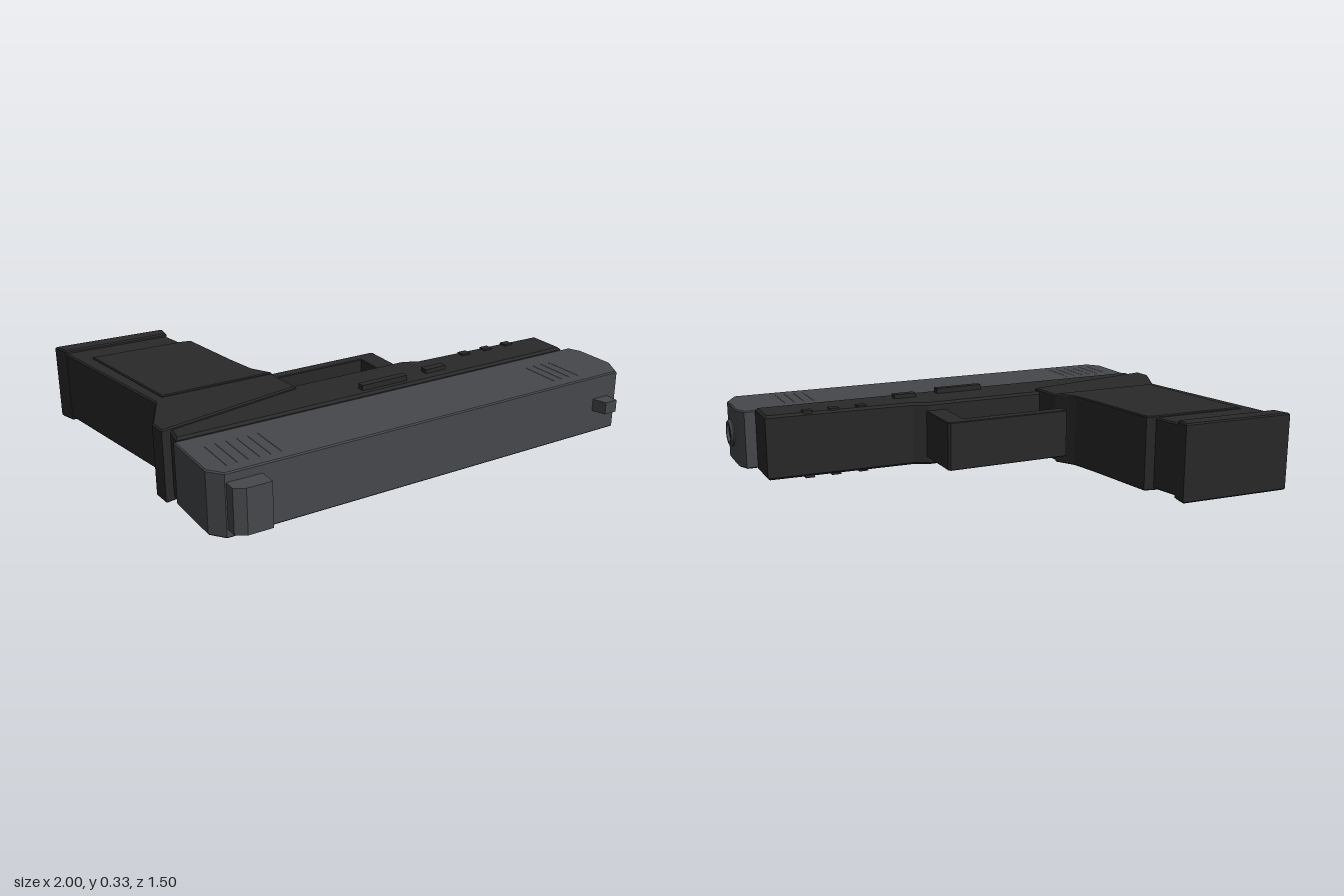
import * as THREE from 'three';

const MID = 0.1625; // height of the symmetry plane
const mat = (color) => new THREE.MeshStandardMaterial({ color, flatShading: true });
const steel = mat(0x46484b), polymer = mat(0x292929), dark = mat(0x1c1c1c);

export function createModel() {
  const model = new THREE.Group();

  const add = (name, geometry, material) => {
    const mesh = new THREE.Mesh(geometry, material);
    mesh.name = name;
    model.add(mesh);
    return mesh;
  };

  // Outline in (x, z), extruded half a thickness to each side of the middle plane
  const plate = (name, points, half, material, bevel = 0.006, holes = []) => {
    const toVectors = (list) => list.map(([x, z]) => new THREE.Vector2(x, -z));
    const shape = new THREE.Shape(toVectors(points));
    holes.forEach((h) => shape.holes.push(new THREE.Path(toVectors(h))));
    const geometry = new THREE.ExtrudeGeometry(shape, {
      depth: 2 * (half - bevel), bevelEnabled: bevel > 0, bevelSegments: 1,
      bevelThickness: bevel, bevelSize: bevel, bevelOffset: -bevel,
    });
    geometry.translate(0, 0, bevel - half).rotateX(-Math.PI / 2).translate(0, MID, 0);
    return add(name, geometry, material);
  };

  const box = (name, x0, x1, y0, y1, z0, z1, material) => {
    const mesh = add(name, new THREE.BoxGeometry(x1 - x0, y1 - y0, z1 - z0), material);
    mesh.position.set((x0 + x1) / 2, (y0 + y1) / 2, (z0 + z1) / 2);
    return mesh;
  };

  // Slide with serration slots, backed by dark cores
  const slot = (x) => [[x - 0.004, 0.44], [x + 0.004, 0.44], [x + 0.004, 0.63], [x - 0.004, 0.63]];
  const slots = [];
  for (let i = 0; i < 6; i++) slots.push(slot(-0.852 + i * 0.043));
  for (let i = 0; i < 4; i++) slots.push(slot(0.636 + i * 0.042));
  plate('slide', [
    [-0.93, 0.355], [0.962, 0.355], [0.985, 0.41], [0.985, 0.585],
    [0.935, 0.677], [-0.885, 0.677], [-0.93, 0.62],
  ], 0.126, steel, 0.005, slots);
  box('rearSerrationCore', -0.88, -0.61, MID - 0.112, MID + 0.112, 0.42, 0.65, dark);
  box('frontSerrationCore', 0.61, 0.79, MID - 0.112, MID + 0.112, 0.42, 0.65, dark);

  // Sights
  plate('rearSight', [[-0.88, 0.67], [-0.74, 0.67], [-0.74, 0.75], [-0.84, 0.75], [-0.88, 0.725]], 0.09, steel, 0);
  plate('frontSight', [[0.81, 0.67], [0.89, 0.67], [0.89, 0.735], [0.83, 0.735]], 0.026, steel, 0);

  // Muzzle ring and bore
  const ring = new THREE.LatheGeometry(
    [[0.04, 0], [0.06, 0], [0.06, 0.02], [0.052, 0.03], [0.04, 0.03], [0.04, 0]]
      .map(([r, y]) => new THREE.Vector2(r, y)), 32);
  ring.rotateZ(-Math.PI / 2).translate(0.97, MID, 0.52);
  add('muzzleRing', ring, steel);
  const bore = new THREE.CylinderGeometry(0.041, 0.041, 0.02, 32);
  bore.rotateZ(-Math.PI / 2).translate(0.978, MID, 0.52);
  add('bore', bore, dark);

  // Frame
  plate('frame', [
    [-0.92, 0.356], [-0.905, 0.25], [-0.5, 0.13], [0.22, 0.13],
    [0.28, 0.16], [0.915, 0.182], [0.915, 0.356],
  ], 0.138, polymer, 0.01);

  // Rail ribs on both sides
  for (const x of [0.5, 0.62, 0.735]) {
    box('railRib', x - 0.02, x + 0.02, MID - 0.145, MID + 0.145, 0.18, 0.215, polymer);
  }

  // Controls on the upper side
  box('slideStop', -0.105, 0.11, 0.28, 0.323, 0.293, 0.325, polymer);
  box('takedownLever', 0.22, 0.32, 0.28, 0.318, 0.27, 0.305, polymer);

  // Trigger guard and trigger
  plate('triggerGuard', [
    [-0.33, -0.11], [0.215, -0.11], [0.225, -0.1], [0.225, 0.15],
    [0.135, 0.15], [0.135, -0.06], [-0.33, -0.06],
  ], 0.103, polymer, 0.003);
  plate('trigger', [
    [-0.04, -0.005], [-0.018, -0.022], [0.018, 0.03], [0.03, 0.07],
    [0.03, 0.14], [-0.025, 0.14], [-0.025, 0.06],
  ], 0.035, polymer, 0.003);

  // Grip with its raised panel and magazine base
  plate('grip', [
    [-0.945, 0.287], [-0.32, 0.167], [-0.335, 0.0], [-0.39, -0.1],
    [-0.495, -0.55], [-0.52, -0.68], [-0.978, -0.69], [-0.86, 0.025], [-0.95, 0.21],
  ], 0.149, polymer, 0.006);
  plate('gripPanel', [
    [-0.9, -0.565], [-0.498, -0.55], [-0.455, -0.54], [-0.41, -0.225],
    [-0.385, -0.09], [-0.337, -0.005], [-0.82, -0.005],
  ], 0.156, polymer, 0.004);
  plate('magazineBase', [[-1, -0.755], [-0.51, -0.735], [-0.518, -0.665], [-0.978, -0.68]], MID, polymer, 0.006);

  return model;
}
